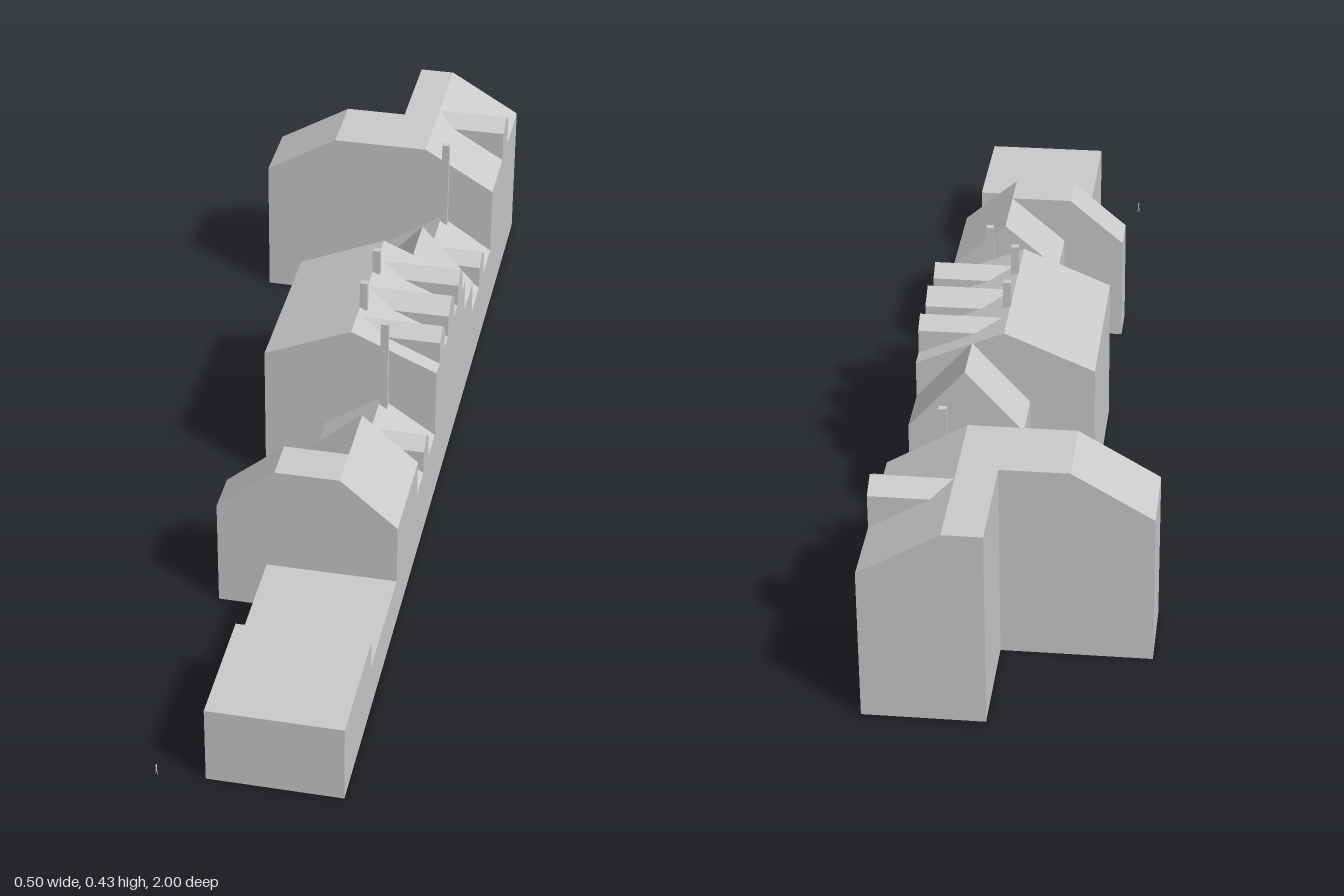
import * as THREE from 'three';

const material = new THREE.MeshStandardMaterial({ color: 0xcccccc, flatShading: true, side: THREE.DoubleSide });

function mesh(name, geometry, parent) {
  const m = new THREE.Mesh(geometry, material);
  m.name = name;
  parent.add(m);
  return m;
}

function prism(points, depth) {
  const shape = new THREE.Shape(points.map(([x, y]) => new THREE.Vector2(x, y)));
  return new THREE.ExtrudeGeometry(shape, { depth, bevelEnabled: false });
}

export function createModel() {
  const model = new THREE.Group();
  model.name = 'buildingRow';
  const R = 0.25; // shared street wall
  const L = 0.027; // rear wall of the main row

  // Each block: roof outline from rear eave to street eave, run along z
  const block = (name, z0, z1, roof) => {
    const pts = [[roof[0][0], 0], [R, 0], ...[...roof].reverse()];
    mesh(name, prism(pts, z1 - z0), model).position.z = z0;
  };
  const gable = (eave, ridge) => [[L, eave], [0.139, ridge], [R, eave]];
  const flat = (y) => [[-0.003, y], [R, y]];

  block('frontHall', 0.745, 0.99, flat(0.16));
  block('lowLink', 0.49, 0.745, flat(0.1));
  block('frontWing', 0.405, 0.49, [[-0.099, 0.225], [0.014, 0.321], [0.139, 0.321], [R, 0.225]]);
  block('frontHouse', 0.275, 0.405, gable(0.225, 0.321));
  block('frontCottage', 0.075, 0.275, gable(0.15, 0.225));
  block('centralHouse', -0.275, 0.075, [[-0.099, 0.3], [0.077, 0.375], [R, 0.3]]);
  block('steepHouse', -0.387, -0.275, gable(0.225, 0.35));
  block('rearCottage', -0.64, -0.387, gable(0.15, 0.225));
  block('rearWing', -0.785, -0.64, [[-0.252, 0.3], [-0.101, 0.389], [0.1, 0.389], [R, 0.3]]);
  block('rearHouse', -1, -0.785, [[L, 0.389], [0.1, 0.389], [R, 0.3]]);

  // Gabled dormers, flush with the street wall and sunk into the roofs
  const dormers = [
    // z, width, base, eave, ridge, inner end x
    [0.178, 0.056, 0.15, 0.2, 0.223, 0.139],
    [0.01, 0.058, 0.3, 0.348, 0.37, 0.085],
    [-0.097, 0.076, 0.3, 0.348, 0.374, 0.077],
    [-0.205, 0.058, 0.3, 0.348, 0.37, 0.085],
    [-0.515, 0.06, 0.15, 0.2, 0.223, 0.139],
    [-0.82, 0.074, 0.3, 0.366, 0.388, 0.1],
  ];
  for (const [z, w, base, eave, ridge, x] of dormers) {
    const h = w / 2;
    const g = prism([[-h, base], [h, base], [h, eave], [0, ridge], [-h, eave]], R - x);
    g.rotateY(Math.PI / 2);
    mesh('dormer', g, model).position.set(x, 0, z);
  }

  // Square chimneys
  const chimneys = [
    // x, z, bottom, top
    [0.148, 0.09, 0.2, 0.415],
    [0.084, -0.022, 0.36, 0.432],
    [0.084, -0.158, 0.36, 0.425],
    [0.147, -0.627, 0.2, 0.415],
  ];
  for (const [x, z, y0, y1] of chimneys) {
    mesh('chimney', new THREE.BoxGeometry(0.015, y1 - y0, 0.013), model).position.set(x, (y0 + y1) / 2, z);
  }

  // Tiny standing figure for scale
  const figure = new THREE.Group();
  figure.name = 'scaleFigure';
  figure.position.set(-0.092, 0, 0.997);
  for (const s of [-1, 1]) {
    const leg = mesh('leg', new THREE.CylinderGeometry(0.0009, 0.0006, 0.011, 5), figure);
    leg.position.set(s * 0.0012, 0.0055, 0);
    leg.rotation.z = s * 0.12;
  }
  mesh('torso', new THREE.CylinderGeometry(0.0018, 0.0012, 0.01, 6), figure).position.y = 0.015;
  mesh('head', new THREE.SphereGeometry(0.0017, 6, 5), figure).position.y = 0.022;
  model.add(figure);

  return model;
}
